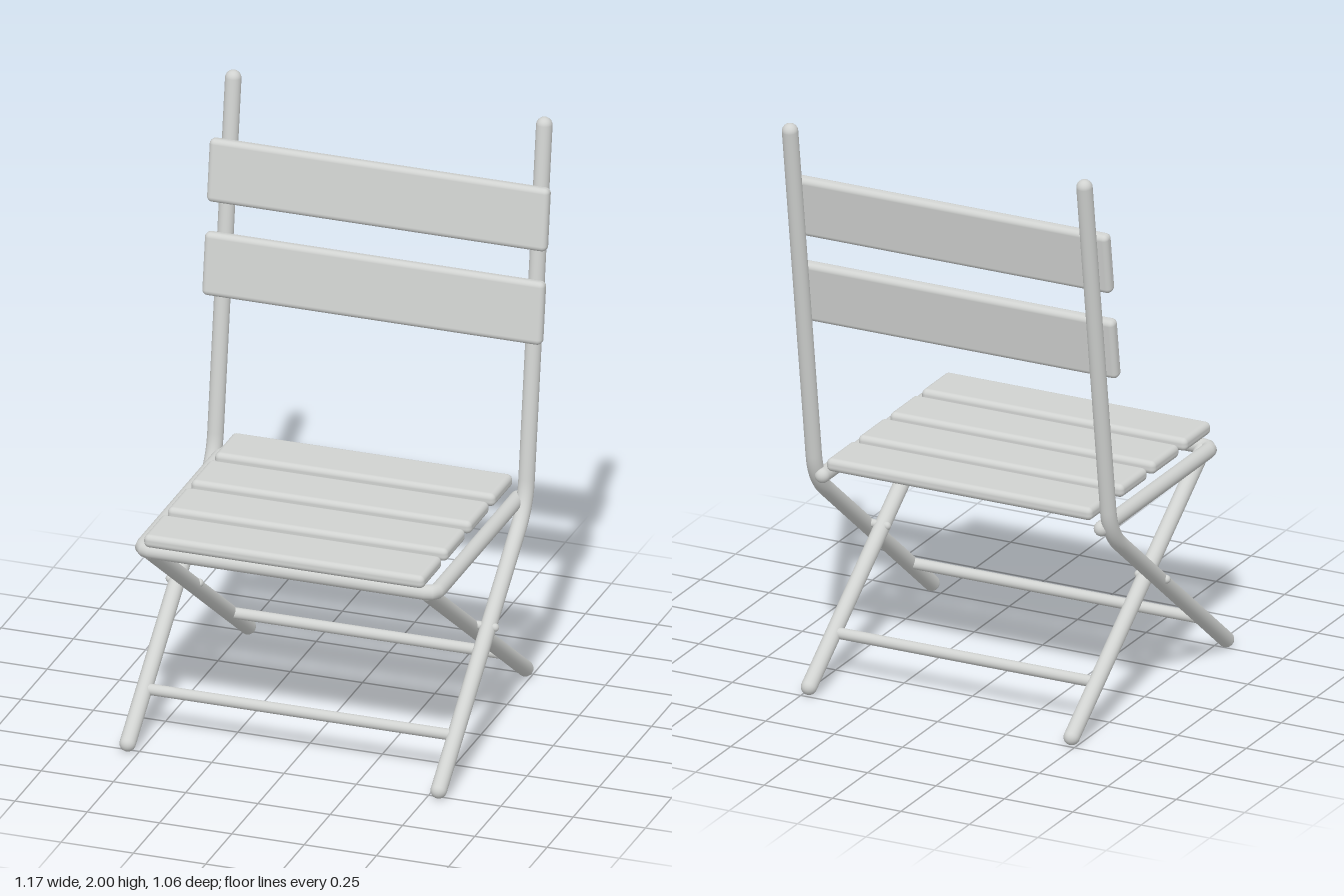
import * as THREE from 'three';
import { RoundedBoxGeometry } from 'three/addons/geometries/RoundedBoxGeometry.js';

const V = (x, y, z) => new THREE.Vector3(x, y, z);

export function createModel() {
  const model = new THREE.Group();
  model.name = 'foldingChair';
  const paint = new THREE.MeshStandardMaterial({ color: 0xd0d2d0 });
  paint.name = 'light grey paint';

  function add(geometry, name, parent = model) {
    const mesh = new THREE.Mesh(geometry, paint);
    mesh.name = name;
    parent.add(mesh);
    return mesh;
  }

  // Round tube through corner points, with softened bends and domed ends
  function tube(name, points, radius, bend = 0) {
    const group = new THREE.Group();
    group.name = name;
    const path = new THREE.CurvePath();
    let start = points[0];
    for (let i = 1; i < points.length - 1; i++) {
      const p = points[i];
      const a = p.clone().add(points[i - 1].clone().sub(p).setLength(bend));
      const b = p.clone().add(points[i + 1].clone().sub(p).setLength(bend));
      path.add(new THREE.LineCurve3(start, a));
      path.add(new THREE.QuadraticBezierCurve3(a, p, b));
      start = b;
    }
    const end = points[points.length - 1];
    path.add(new THREE.LineCurve3(start, end));
    add(new THREE.TubeGeometry(path, points.length > 2 ? 140 : 1, radius, 20), name + 'Bar', group);
    for (const p of [points[0], end]) {
      add(new THREE.SphereGeometry(radius, 20, 12), name + 'End', group).position.copy(p);
    }
    model.add(group);
  }

  for (const [side, s] of [['left', 1], ['right', -1]]) {
    // Front leg that bends up into the back post
    tube(side + 'BackPost', [
      V(s * 0.538, 0.027, 0.508), V(s * 0.538, 0.69, -0.32), V(s * 0.538, 1.973, -0.502),
    ], 0.027, 0.09);
    // Rear leg crossing up to the front of the seat
    tube(side + 'RearLeg', [V(s * 0.48, 0.027, -0.48), V(s * 0.48, 0.7, 0.455)], 0.027);
    // Pivot pin where the legs cross
    tube(side + 'PivotPin', [V(s * 0.46, 0.41, 0.037), V(s * 0.562, 0.41, 0.037)], 0.014);
  }

  // U-shaped seat frame
  tube('seatFrame', [
    V(-0.51, 0.708, -0.325), V(-0.51, 0.708, 0.465), V(0.51, 0.708, 0.465), V(0.51, 0.708, -0.325),
  ], 0.026, 0.035);

  // Stretchers between the feet
  tube('frontStretcher', [V(-0.52, 0.155, 0.35), V(0.52, 0.155, 0.35)], 0.019);
  tube('rearStretcher', [V(-0.48, 0.155, -0.302), V(0.48, 0.155, -0.302)], 0.019);

  // Seat slats
  for (let i = 0; i < 4; i++) {
    add(new RoundedBoxGeometry(0.97, 0.045, 0.187, 4, 0.018), 'seatSlat')
      .position.set(0, 0.758, 0.418 - i * 0.2265);
  }

  // Back slats, leaning with the posts
  for (const [y, z] of [[1.68, -0.408], [1.365, -0.363]]) {
    const slat = add(new RoundedBoxGeometry(1.175, 0.215, 0.044, 4, 0.018), 'backSlat');
    slat.position.set(0, y, z);
    slat.rotation.x = -0.14;
  }

  return model;
}
